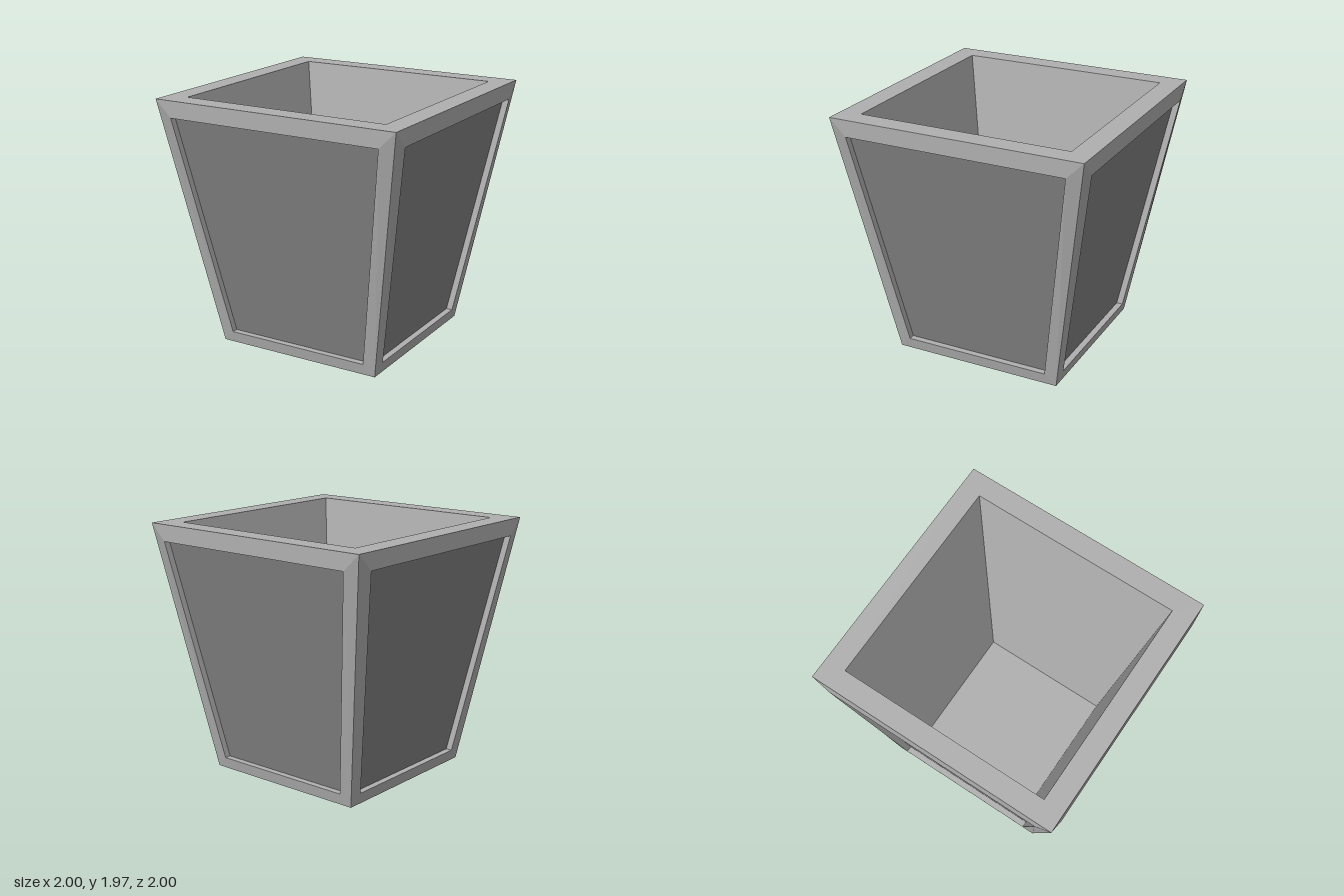
import * as THREE from 'three';

const frameMaterial = new THREE.MeshStandardMaterial({ color: 0xafafaf, flatShading: true });
const panelMaterial = new THREE.MeshStandardMaterial({ color: 0x828282, flatShading: true });

// Four corners of a trapezoid facing +z: bottom left, bottom right, top right, top left
const loop = (bottomX, bottomY, bottomZ, topX, topY, topZ) => [
  [-bottomX, bottomY, bottomZ], [bottomX, bottomY, bottomZ],
  [topX, topY, topZ], [-topX, topY, topZ],
];

function quadMesh(name, quads, material = frameMaterial) {
  const positions = quads.flatMap(([a, b, c, d]) => [a, b, c, a, c, d].flat());
  const geometry = new THREE.BufferGeometry();
  geometry.setAttribute('position', new THREE.Float32BufferAttribute(positions, 3));
  geometry.computeVertexNormals();
  const mesh = new THREE.Mesh(geometry, material);
  mesh.name = name;
  return mesh;
}

// Ring of quads joining an outer loop to an inner one
const bridge = (outer, inner) => outer.map((p, i) => {
  const j = (i + 1) % 4;
  return [p, outer[j], inner[j], inner[i]];
});

const square = (half, y) => [[-half, y, half], [half, y, half], [half, y, -half], [-half, y, -half]];

export function createModel() {
  const group = new THREE.Group();
  const height = 1.965, baseHalf = 0.677, topHalf = 1;
  const cavityTop = 0.835, cavityBottom = 0.535, floorY = 0.12, recess = 0.05;

  const outer = loop(baseHalf, 0, baseHalf, topHalf, height, topHalf);
  const opening = loop(0.588, 0.09, 0.695, 0.868, 1.835, 1);
  const panel = opening.map(([x, y, z]) => [x, y, z - recess]);

  // Four identical sides: raised frame, recess edges, darker sunken panel
  for (let i = 0; i < 4; i++) {
    const side = new THREE.Group();
    side.name = 'side' + (i + 1);
    side.add(
      quadMesh('frame', bridge(outer, opening)),
      quadMesh('recessEdge', bridge(opening, panel)),
      quadMesh('panel', [panel], panelMaterial),
    );
    side.rotation.y = i * Math.PI / 2;
    group.add(side);
  }

  // Flat rim, tapered cavity, floor and underside
  const cavityRim = square(cavityTop, height);
  const floor = square(cavityBottom, floorY);
  group.add(
    quadMesh('rim', bridge(square(topHalf, height), cavityRim)),
    quadMesh('innerWalls', bridge(cavityRim, floor)),
    quadMesh('floor', [floor]),
    quadMesh('base', [square(baseHalf, 0).reverse()]),
  );
  return group;
}
